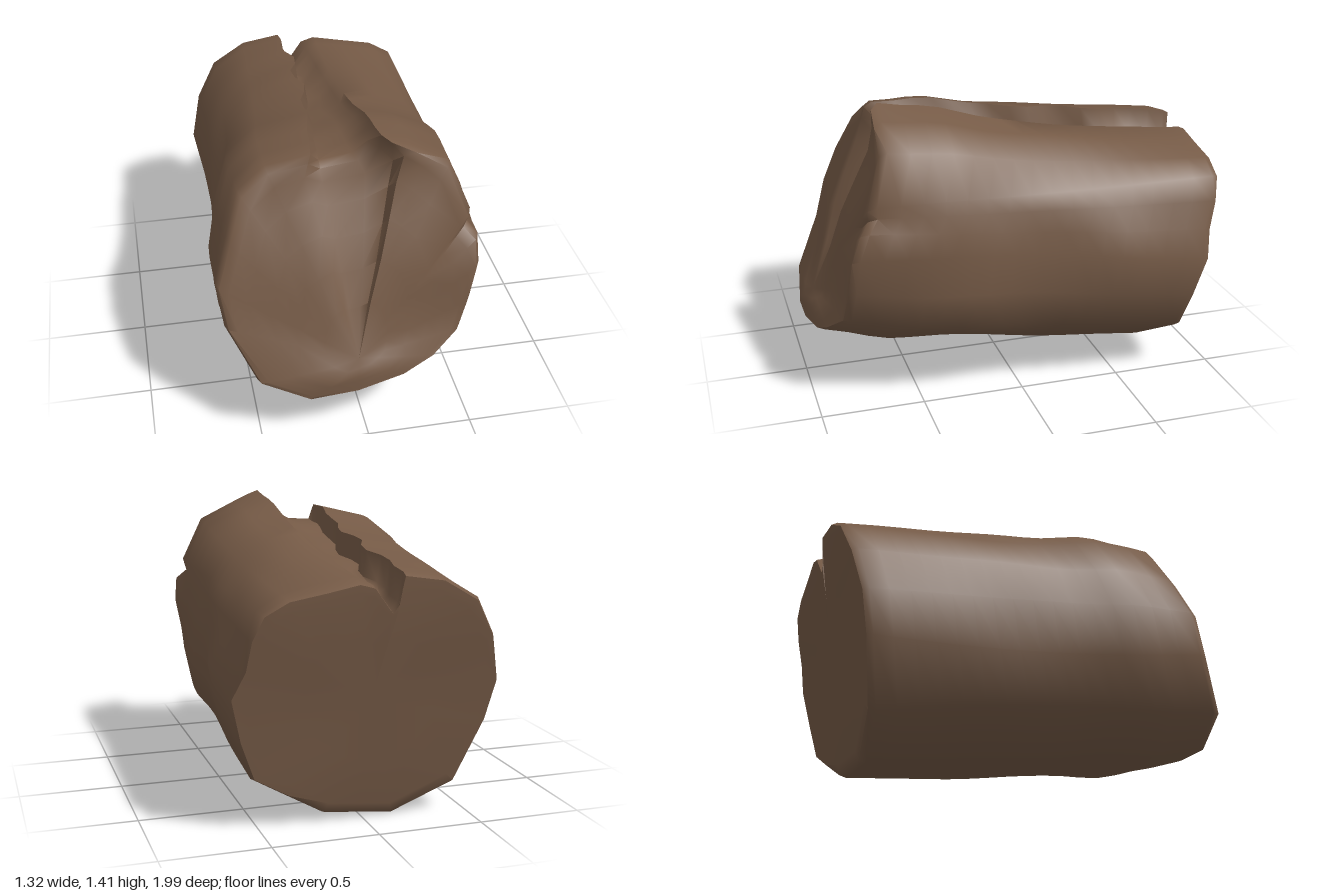
import * as THREE from 'three';
import { toCreasedNormals } from 'three/addons/utils/BufferGeometryUtils.js';

// Outline of the log, counter-clockwise from the underside: front x,y, middle x,y, rear x,y
const OUTLINE = [
  [-0.28, 0.25, -0.22, 0.12, -0.15, 0.00],
  [-0.05, 0.27, 0.00, 0.12, 0.02, 0.02],
  [0.18, 0.31, 0.16, 0.14, 0.19, 0.04],
  [0.33, 0.38, 0.35, 0.24, 0.37, 0.15],
  [0.46, 0.47, 0.53, 0.37, 0.54, 0.25],
  [0.51, 0.62, 0.56, 0.55, 0.61, 0.44],
  [0.55, 0.80, 0.57, 0.75, 0.66, 0.65],
  [0.55, 0.93, 0.56, 0.85, 0.60, 0.78],
  [0.50, 0.98, 0.55, 0.95, 0.58, 0.92],
  [0.52, 1.04, 0.51, 1.02, 0.53, 1.03],
  [0.43, 1.27, 0.42, 1.15, 0.42, 1.09],
  [0.25, 1.36, 0.24, 1.22, 0.25, 1.12],
  [0.12, 1.42, 0.09, 1.24, 0.10, 1.15],
  [0.08, 1.34, 0.06, 1.20, 0.03, 1.13],
  [0.01, 1.27, -0.03, 1.17, -0.06, 1.01],
  [-0.15, 1.26, -0.09, 1.16, -0.09, 1.05],
  [-0.20, 1.33, -0.11, 1.27, -0.11, 1.18],
  [-0.40, 1.28, -0.35, 1.22, -0.30, 1.15],
  [-0.53, 1.19, -0.50, 1.10, -0.47, 1.05],
  [-0.60, 1.00, -0.57, 0.95, -0.57, 0.87],
  [-0.67, 0.80, -0.60, 0.75, -0.62, 0.65],
  [-0.64, 0.60, -0.58, 0.50, -0.58, 0.45],
  [-0.51, 0.36, -0.48, 0.28, -0.45, 0.14],
];
const N = OUTLINE.length;

// How far each split is sunk into the front face, and where it starts from the hub
const FRONT_DENT = { 8: 0.03, 13: 0.11, 14: 0.14, 15: 0.12, 16: 0.04, 17: 0.05, 18: 0.02 };
const DENT_START = { 8: 0.6, 17: 0.4, 18: 0.4 };
// Sideways spread of the central split inside the front face
const SPREAD = { 11: 0.08, 12: 0.12, 13: 0.13, 14: 0.06, 16: -0.05 };
// Extra swelling of the left flank
const FLANK = { 3: 0.015, 4: 0.035, 5: 0.035, 6: 0.02 };
const KNOT = { 5: 0.02, 6: 0.045, 7: 0.02 };

// Side profiles of the two end faces: y, z
const FRONT_PROFILE = [[0.27, 0.995], [0.37, 0.99], [0.47, 0.925], [0.65, 0.86], [0.8, 0.825],
  [0.95, 0.77], [1.2, 0.67], [1.42, 0.64]];
const REAR_PROFILE = [[0, -0.76], [0.17, -0.81], [0.57, -0.88], [0.88, -0.95], [1.0, -0.98], [1.18, -1]];

function profileZ(profile, y) {
  let i = 0;
  while (i < profile.length - 2 && y > profile[i + 1][0]) i++;
  const [y0, z0] = profile[i], [y1, z1] = profile[i + 1];
  return THREE.MathUtils.mapLinear(THREE.MathUtils.clamp(y, y0, y1), y0, y1, z0, z1);
}
// The front face falls away on its right side and at its lower left
function frontZ(x, y) {
  const tilt = x < -0.15 ? 0.12 : 0.12 * (1 - THREE.MathUtils.smoothstep(y, 0.35, 0.8));
  return profileZ(FRONT_PROFILE, y) - tilt * Math.abs(x + 0.15);
}
const rearZ = y => profileZ(REAR_PROFILE, y);
const bump = (t, centre, width) => Math.exp(-(((t - centre) / width) ** 2));

// Point j of the bark at t, from 0 at the front to 1 at the rear
function barkPoint(j, t) {
  const [fx, fy, mx, my, bx, by] = OUTLINE[j];
  const a = (1 - t) * (1 - 2 * t), b = 4 * t * (1 - t), c = t * (2 * t - 1);
  let x = fx * a + mx * b + bx * c;
  let y = fy * a + my * b + by * c;
  const middle = Math.sin(Math.PI * t);
  // Swelling behind the front face
  let k = 1 + 0.07 * middle ** 0.5 * bump(t, 0.18, 0.11);
  if (j >= 14 && j <= 16) {
    // The long split wanders from side to side
    x += 0.05 * t * middle * Math.sin(26 * t - 17.3);
  } else if (j !== 13) {
    k += 0.006 * middle * Math.sin(j * 2.3 + t * 14);
  }
  x = x * k + (FLANK[j] || 0) * bump(t, 0.36, 0.12) + (KNOT[j] || 0) * bump(t, 0.75, 0.12);
  y = 0.75 + (y - 0.75) * k;
  const z0 = frontZ(fx, fy) - (FRONT_DENT[j] || 0);
  return new THREE.Vector3(x, y, z0 + (rearZ(by) - z0) * t);
}

// Point j of an end face, s being the distance out from its hub
function endPoint(j, s, front) {
  const hub = front ? [-0.04, 0.43] : [0, 0.6];
  const p = barkPoint(j, front ? 0 : 1);
  let x = hub[0] + (p.x - hub[0]) * s;
  const y = hub[1] + (p.y - hub[1]) * s;
  if (!front) return new THREE.Vector3(x, y, rearZ(y));
  x += (SPREAD[j] || 0) * s * Math.min(1, (1 - s) / 0.08);
  const start = DENT_START[j] || 0;
  const fade = Math.max(0, (s - start) / (1 - start));
  return new THREE.Vector3(x, y, frontZ(x, y) - (FRONT_DENT[j] || 0) * fade);
}

function logGeometry() {
  const rings = [];
  const addRing = f => rings.push(OUTLINE.map((_, j) => f(j)));
  // Front face, bark, rear face, in that order
  for (const s of [0, 0.25, 0.45, 0.62, 0.78, 0.9, 0.97]) addRing(j => endPoint(j, s, true));
  addRing(j => barkPoint(j, 0.02));
  for (let i = 1; i <= 15; i++) addRing(j => barkPoint(j, 0.025 + i * 0.06));
  addRing(j => barkPoint(j, 0.982));
  for (const s of [0.98, 0.9, 0.5, 0]) addRing(j => endPoint(j, s, false));

  const positions = rings.flat().flatMap(p => p.toArray());
  const index = [];
  for (let i = 0; i < rings.length - 1; i++) {
    for (let j = 0; j < N; j++) {
      const k = (j + 1) % N;
      const a = i * N + j, b = a + N, c = i * N + k, d = c + N;
      // The hubs need only one triangle per step
      if (i > 0) index.push(a, b, c);
      if (i === 0) index.push(a, b, d);
      else if (i < rings.length - 2) index.push(c, b, d);
    }
  }
  const geometry = new THREE.BufferGeometry();
  geometry.setAttribute('position', new THREE.Float32BufferAttribute(positions, 3));
  geometry.setIndex(index);
  return toCreasedNormals(geometry, 1.1);
}

export function createModel() {
  const bark = new THREE.MeshStandardMaterial({ color: 0x755a46 });
  bark.name = 'brown bark';
  bark.side = THREE.DoubleSide;

  const log = new THREE.Mesh(logGeometry(), bark);
  log.name = 'splitLog';

  const group = new THREE.Group();
  group.name = 'log';
  group.add(log);
  return group;
}
